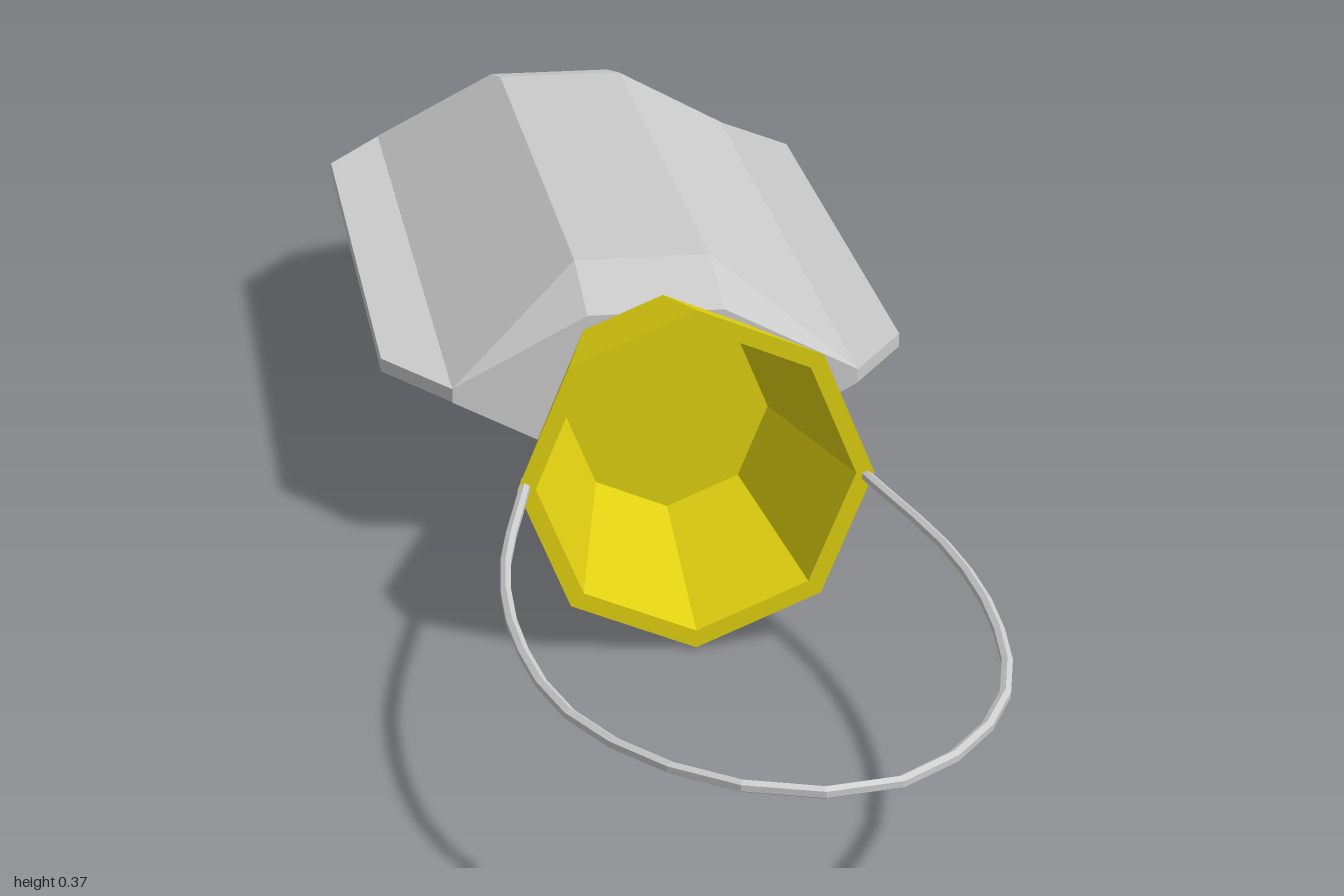
import * as THREE from 'three';
import { ConvexGeometry } from 'three/addons/geometries/ConvexGeometry.js';

const CENTER_Y = 0.188;

export function createModel() {
  const model = new THREE.Group();
  const grey = new THREE.MeshStandardMaterial({ color: 0xcccccc, flatShading: true });
  const yellow = new THREE.MeshStandardMaterial({ color: 0xe0d010, flatShading: true });

  const add = (name, geometry, material) => {
    const mesh = new THREE.Mesh(geometry, material);
    mesh.name = name;
    mesh.position.y = CENTER_Y;
    model.add(mesh);
    return mesh;
  };
  // Convex solid mirrored left-right and top-bottom from [x, y, z] corners
  const mirroredSolid = (corners) => new ConvexGeometry(corners.flatMap(([x, y, z]) =>
    [[1, 1], [-1, 1], [1, -1], [-1, -1]].map(([sx, sy]) => new THREE.Vector3(sx * x, sy * y, z))));

  // Faceted body, a flattened hexagon that thins toward both ends
  const sections = [[-0.04, 0.084], [-0.15, 0.111], [-0.89, 0.111], [-1, 0.084]];
  add('body', mirroredSolid(sections.flatMap(([z, h]) => [[0.075, h, z], [0.222, 0.008, z]])), grey);

  // Thin plate forming the side flanges
  const outline = [[0.222, -0.04], [0.29, -0.15], [0.29, -0.89], [0.222, -1]];
  add('sideFlange', mirroredSolid(outline.map(([x, z]) => [x, 0.0075, z])), grey);

  // Short six-sided neck between body and cup
  const neck = new THREE.CylinderGeometry(0.083, 0.083, 0.055, 6);
  neck.rotateX(Math.PI / 2);
  neck.translate(0, 0, -0.0175);
  add('neck', neck, grey);

  // Hollow eight-sided cup, open to the front
  const profile = [[0, 0.01], [0.121, 0.01], [0.185, 0.25], [0.166, 0.25], [0.109, 0.04], [0, 0.04]];
  const cup = new THREE.LatheGeometry(profile.map(([r, z]) => new THREE.Vector2(r, z)), 8);
  cup.rotateX(Math.PI / 2);
  add('cup', cup, yellow);

  // Cord loop running from one side of the rim to the other
  const half = [[0.173, 0.23], [0.222, 0.47], [0.227, 0.65], [0.202, 0.8], [0.146, 0.905], [0.076, 0.97]];
  const cordPoint = (side) => ([x, z]) =>
    new THREE.Vector3(side * x, -0.001 - 0.007 * (z - 0.23) - side * 0.003, z);
  const path = new THREE.CatmullRomCurve3([
    ...half.map(cordPoint(-1)),
    new THREE.Vector3(0, -0.007, 0.989),
    ...half.map(cordPoint(1)).reverse(),
  ]);
  add('cordLoop', new THREE.TubeGeometry(path, 24, 0.006, 6, false), grey);

  return model;
}
